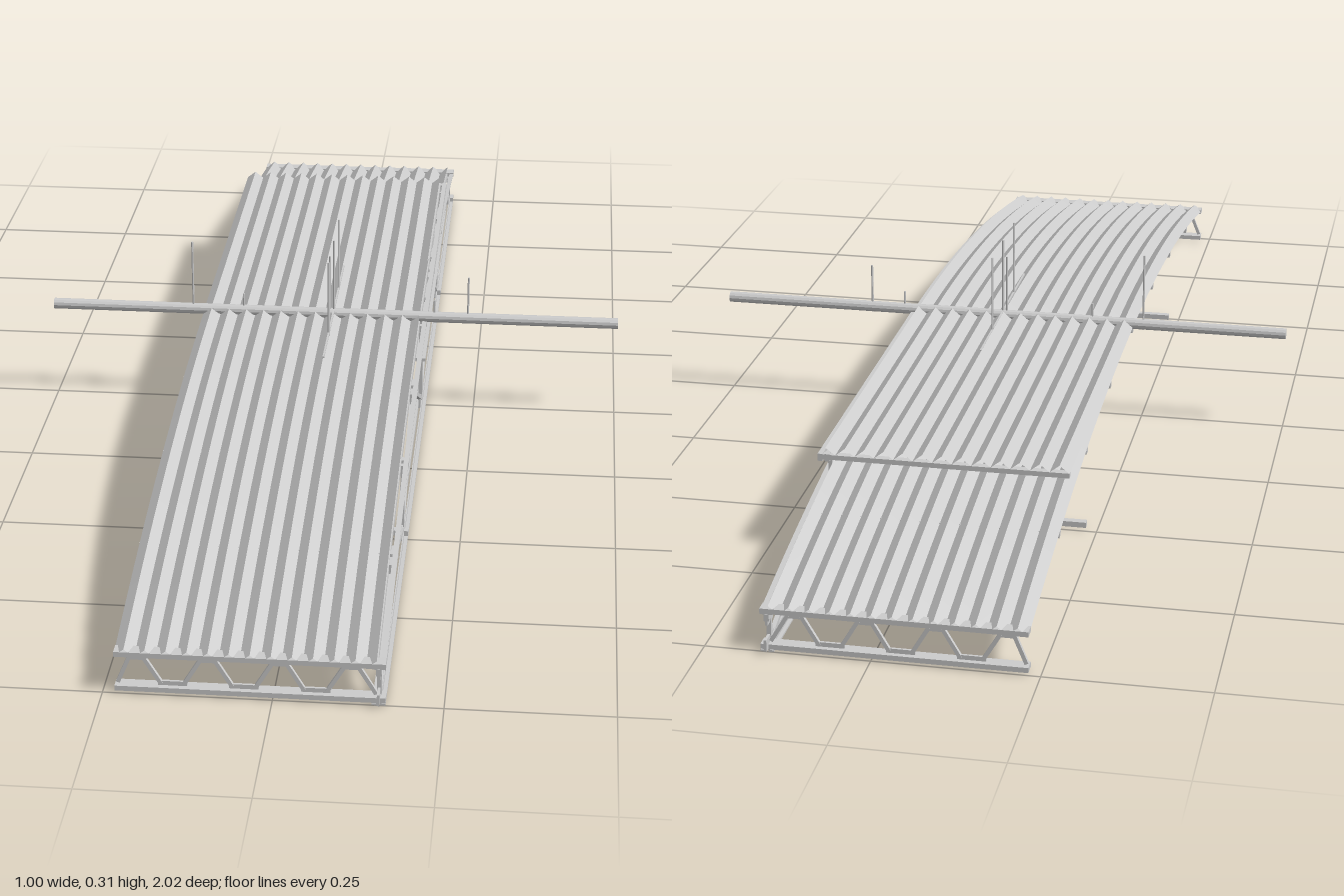
import * as THREE from 'three';

const mat = new THREE.MeshStandardMaterial({ color: 0xcccccc, flatShading: true });
const sheetMat = new THREE.MeshStandardMaterial({ color: 0xcccccc, flatShading: true, side: THREE.DoubleSide });

const XL = -0.232, XR = 0.165, XT = 0.155; // deck edges and main truss plane
const arch = z => 0.178 - 0.104 * z * z;   // top of the arched deck
const V = (x, y, z) => new THREE.Vector3(x, y, z);

export function createModel() {
  const root = new THREE.Group();
  let group = root;
  const section = name => {
    group = new THREE.Group();
    group.name = name;
    root.add(group);
  };
  const add = (name, geo, m = mat) => {
    const mesh = new THREE.Mesh(geo, m);
    mesh.name = name;
    group.add(mesh);
    return mesh;
  };
  // Box given by its limits
  const box = (name, x0, x1, y0, y1, z0, z1) => {
    add(name, new THREE.BoxGeometry(x1 - x0, y1 - y0, z1 - z0))
      .position.set((x0 + x1) / 2, (y0 + y1) / 2, (z0 + z1) / 2);
  };
  // Straight bar between two points
  const bar = (name, a, b, w) => {
    const m = add(name, new THREE.BoxGeometry(w, w, a.distanceTo(b)));
    m.position.copy(a).lerp(b, 0.5);
    m.lookAt(b);
  };
  // Strip following the arch, between two depths below the deck top
  const archStrip = (name, x0, x1, d0, d1) => {
    const g = new THREE.BoxGeometry(x1 - x0, d1 - d0, 2, 1, 1, 40);
    g.translate((x0 + x1) / 2, -(d0 + d1) / 2, 0);
    const p = g.attributes.position;
    for (let i = 0; i < p.count; i++) p.setY(i, p.getY(i) + arch(p.getZ(i)));
    g.computeVertexNormals();
    add(name, g);
  };
  // Corrugated sheet: zigzag across x, height rule along z
  const corrugated = (name, z0, z1, rows, height) => {
    const cols = 25;
    const g = new THREE.PlaneGeometry(1, 1, cols, rows);
    const p = g.attributes.position;
    for (let i = 0; i < p.count; i++) {
      const c = i % (cols + 1), r = Math.floor(i / (cols + 1));
      const z = z0 + (z1 - z0) * r / rows;
      p.setXYZ(i, XL + (0.152 - XL) * c / cols, height(z) - (c % 2 ? 0 : 0.012), z);
    }
    g.computeVertexNormals();
    add(name, g, sheetMat);
  };

  // Decks: full arch and the level sheet over its rear
  section('decks');
  corrugated('archedDeck', -1, 1, 40, arch);
  corrugated('levelDeck', -0.66, 0, 1, () => 0.181);

  // Main truss: paired chords, posts, diagonals and gussets
  section('mainTruss');
  for (const [a, b, leg] of [[0.145, 0.153, 0.151], [0.157, 0.165, 0.157]]) {
    archStrip('topChordFlange', a, b, 0.011, 0.014);
    archStrip('topChordLeg', leg, leg + 0.002, 0.014, 0.025);
    box('bottomChordFlange', a, b, 0, 0.003, -1, 1);
    box('bottomChordLeg', leg, leg + 0.002, 0.003, 0.011, -1, 1);
  }
  const gusset = (y, z, w, h) => box('gusset', XT - 0.002, XT + 0.002, y - h / 2, y + h / 2, z - w / 2, z + w / 2);
  for (const z of [-0.985, -0.49, 0, 0.49, 0.985]) {
    bar('post', V(XT, 0.008, z), V(XT, arch(z) - 0.018, z), 0.007);
    gusset(0.014, z, 0.05, 0.018);
    gusset(arch(z) - 0.026, z, 0.03, 0.018);
  }
  for (const s of [-1, 1]) {
    for (const [low, high] of [[0.98, 0.74], [0.49, 0.74], [0.49, 0.25], [0, 0.25]]) {
      bar('diagonal', V(XT, 0.014, s * low), V(XT, arch(high) - 0.026, s * high), 0.007);
    }
    for (const z of [0.25, 0.74]) gusset(arch(z) - 0.026, s * z, 0.06, 0.018);
  }

  // Cross members under the deck
  section('crossMembers');
  for (const z of [-0.74, -0.49, -0.25, 0, 0.25, 0.49, 0.74]) {
    const y = arch(z) - 0.012;
    box('purlin', XL, XR, y - 0.009, y, z - 0.006, z + 0.006);
  }
  for (const z of [-0.49, 0.49]) box('bottomCrossbar', XL, XR, 0.004, 0.013, z - 0.006, z + 0.006);

  // End trusses with zigzag bracing
  for (const s of [-1, 1]) {
    section(s > 0 ? 'frontEndTruss' : 'rearEndTruss');
    const z = s * 0.99;
    box('bottomBeam', XL, XR, 0.004, 0.012, z - 0.01, z + 0.01);
    box('topBeam', XL, XR, 0.061, 0.069, z - 0.01, z + 0.01);
    for (let i = 0; i < 4; i++) {
      const x = -0.2 + i * 0.105;
      box('upperGusset', x - 0.014, x + 0.014, 0.053, 0.062, z - 0.002, z + 0.002);
      for (const d of [-1, 1]) {
        bar('brace', V(x + d * 0.01, 0.058, z), V(Math.max(XL + 0.004, x + d * 0.036), 0.014, z), 0.006);
      }
      if (i < 3) box('lowerGusset', x + 0.031, x + 0.074, 0.012, 0.019, z - 0.002, z + 0.002);
    }
  }

  // Small truss carrying the level deck
  section('levelTruss');
  for (const x of [0.146, 0.157]) {
    box('topChord', x, x + 0.008, 0.158, 0.17, -0.66, 0);
    box('bottomChord', x, x + 0.008, 0.104, 0.11, -0.66, 0.04);
  }
  for (const low of [-0.04, -0.23, -0.42, -0.61]) {
    gusset(0.113, low, 0.04, 0.012);
    for (const d of [-0.09, 0.09]) {
      const high = low + d;
      if (high > 0 || high < -0.66) continue;
      bar('diagonal', V(XT, 0.113, low), V(XT, 0.156, high), 0.006);
      gusset(0.155, high, 0.035, 0.01);
    }
  }
  bar('endPost', V(XT, 0.107, -0.62), V(XT, 0.165, -0.62), 0.006);
  box('endPurlin', XL, XR, 0.161, 0.169, -0.66, -0.648);

  // Long crosswise pipe and thin masts
  section('pipeAndMasts');
  add('pipe', new THREE.CylinderGeometry(0.0095, 0.0095, 1, 12).rotateZ(Math.PI / 2)).position.y = 0.173;
  bar('ridgeRod', V(0, 0.18, -0.2), V(0, 0.18, 0.2), 0.003);
  const masts = [[-0.25, 0.3, 0], [-0.16, 0.205, 0], [-0.007, 0.282, 0], [0, 0.312, 0],
    [0, 0.312, 0.1], [0, 0.312, -0.097], [0.178, 0.205, 0], [0.237, 0.25, 0]];
  for (const [x, top, z] of masts) {
    add('mast', new THREE.CylinderGeometry(0.002, 0.002, top - 0.163, 6)).position.set(x, (top + 0.163) / 2, z);
  }
  return root;
}
